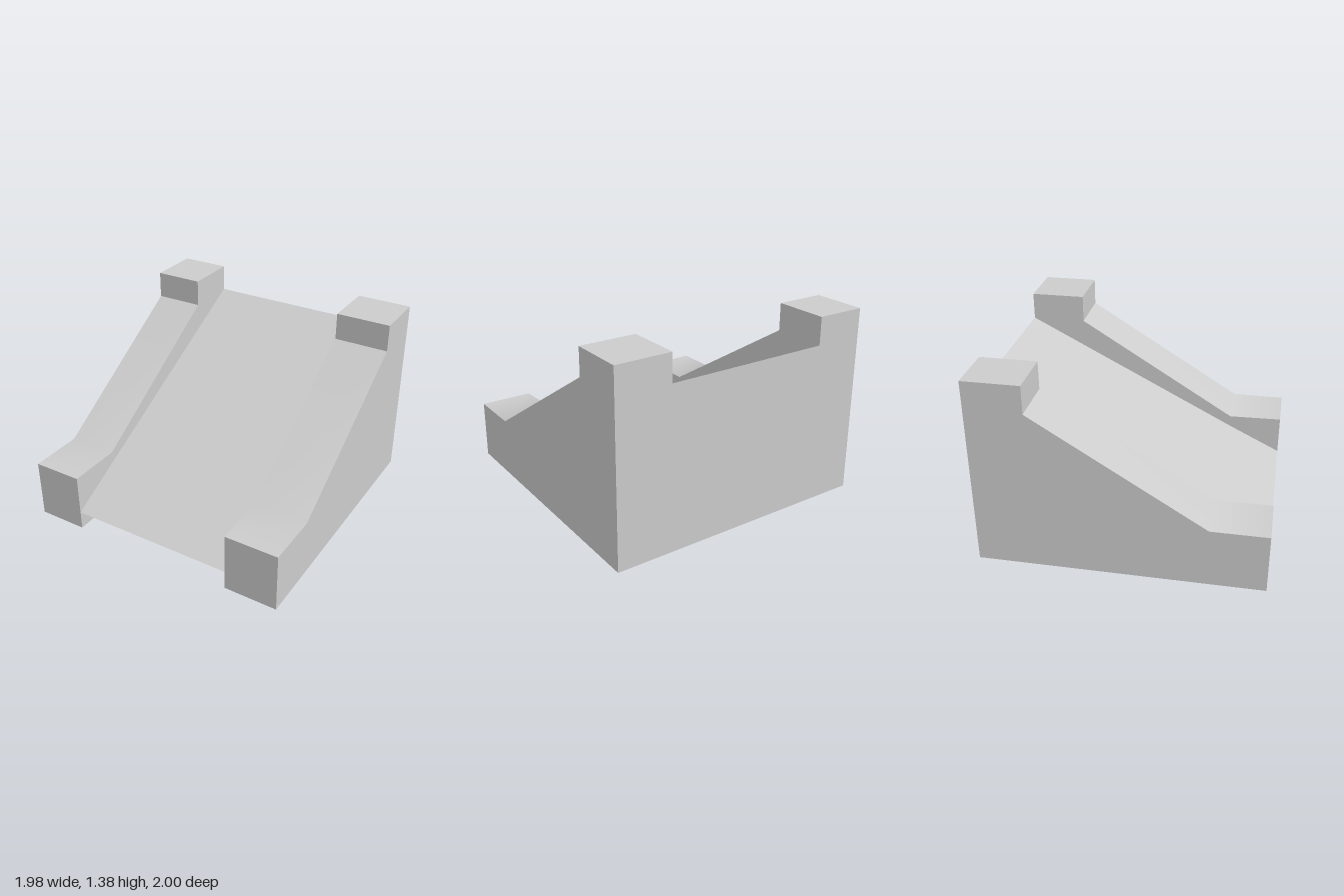
import * as THREE from 'three';

const TOP = 1.38, SHOULDER = 1.18, FOOT = 0.435, LIP = 0.14;

// Flat sheet facing sideways: outline in (z, y), x given per z
function sideSheet(outline, xAt) {
  const shape = new THREE.Shape(outline.map(([z, y]) => new THREE.Vector2(z, y)));
  const geo = new THREE.ShapeGeometry(shape);
  const p = geo.attributes.position;
  for (let i = 0; i < p.count; i++) {
    const z = p.getX(i);
    p.setXYZ(i, xAt(z), p.getY(i), z);
  }
  geo.computeVertexNormals();
  return geo;
}

// Strip swept across x along a (z, y) path that runs from front to back
function strip(path, leftEdge, rightEdge) {
  const pos = [], idx = [];
  path.forEach(([z, y], i) => {
    pos.push(leftEdge(z), y, z, rightEdge(z), y, z);
    if (i) {
      const a = 2 * i - 2;
      idx.push(a, a + 1, a + 3, a, a + 3, a + 2);
    }
  });
  const geo = new THREE.BufferGeometry();
  geo.setAttribute('position', new THREE.Float32BufferAttribute(pos, 3));
  geo.setIndex(idx);
  geo.computeVertexNormals();
  return geo;
}

export function createModel() {
  const group = new THREE.Group();
  const grey = new THREE.MeshStandardMaterial({ color: 0xcccccc, side: THREE.DoubleSide });
  grey.name = 'stone grey';
  const add = (name, geo, parent = group) => {
    const mesh = new THREE.Mesh(geo, grey);
    mesh.name = name;
    parent.add(mesh);
  };

  // Inner faces of the side walls; the left one flares a little at the front
  const innerLeft = z => (z > 0.6 ? 0.585 + (z - 0.6) * 0.0375 : 0.585);
  const innerRight = () => -0.625;
  const outerLeft = () => 0.99;
  const outerRight = () => -0.99;

  // Upper silhouette of a side wall, back to front
  const crest = [[-1, TOP], [-0.6, TOP], [-0.6, SHOULDER], [0.6, FOOT], [1, FOOT]];

  // Hollow side walls, open underneath
  const sides = [
    ['leftWall', innerLeft, outerLeft],
    ['rightWall', outerRight, innerRight],
  ];
  for (const [name, lo, hi] of sides) {
    const wall = new THREE.Group();
    wall.name = name;
    group.add(wall);
    const [inner, outer] = name === 'leftWall' ? [lo, hi] : [hi, lo];
    add('outerFace', sideSheet([[1, 0], [-1, 0], ...crest], outer), wall);
    add('innerFace', sideSheet([[1, 0], [0.48, 0], [-1, SHOULDER], ...crest], inner), wall);
    add('frontFace', strip([[1, 0], [1, FOOT]], lo, hi), wall);
    // one smooth strip over the foot and slope
    add('slopedTop', strip([[1, FOOT], [0.6, FOOT], [-0.6, SHOULDER]], lo, hi), wall);
    add('postFront', strip([[-0.6, SHOULDER], [-0.6, TOP]], lo, hi), wall);
    add('postTop', strip([[-0.6, TOP], [-1, TOP]], lo, hi), wall);
  }

  // Sloping ramp between the walls
  const rampY = z => LIP + (1 - z) * (SHOULDER - LIP) / 2;
  add('ramp', strip([1, 0.6, -1].map(z => [z, rampY(z)]), innerRight, innerLeft));

  // Back wall with a notch between the two posts
  const back = new THREE.Shape([
    [-0.99, 0], [0.99, 0], [0.99, TOP], [0.585, TOP], [0.585, SHOULDER],
    [-0.625, SHOULDER], [-0.625, TOP], [-0.99, TOP],
  ].map(([x, y]) => new THREE.Vector2(-x, y)));
  const backGeo = new THREE.ShapeGeometry(back);
  backGeo.rotateY(Math.PI);
  backGeo.translate(0, 0, -1);
  add('backWall', backGeo);

  return group;
}
